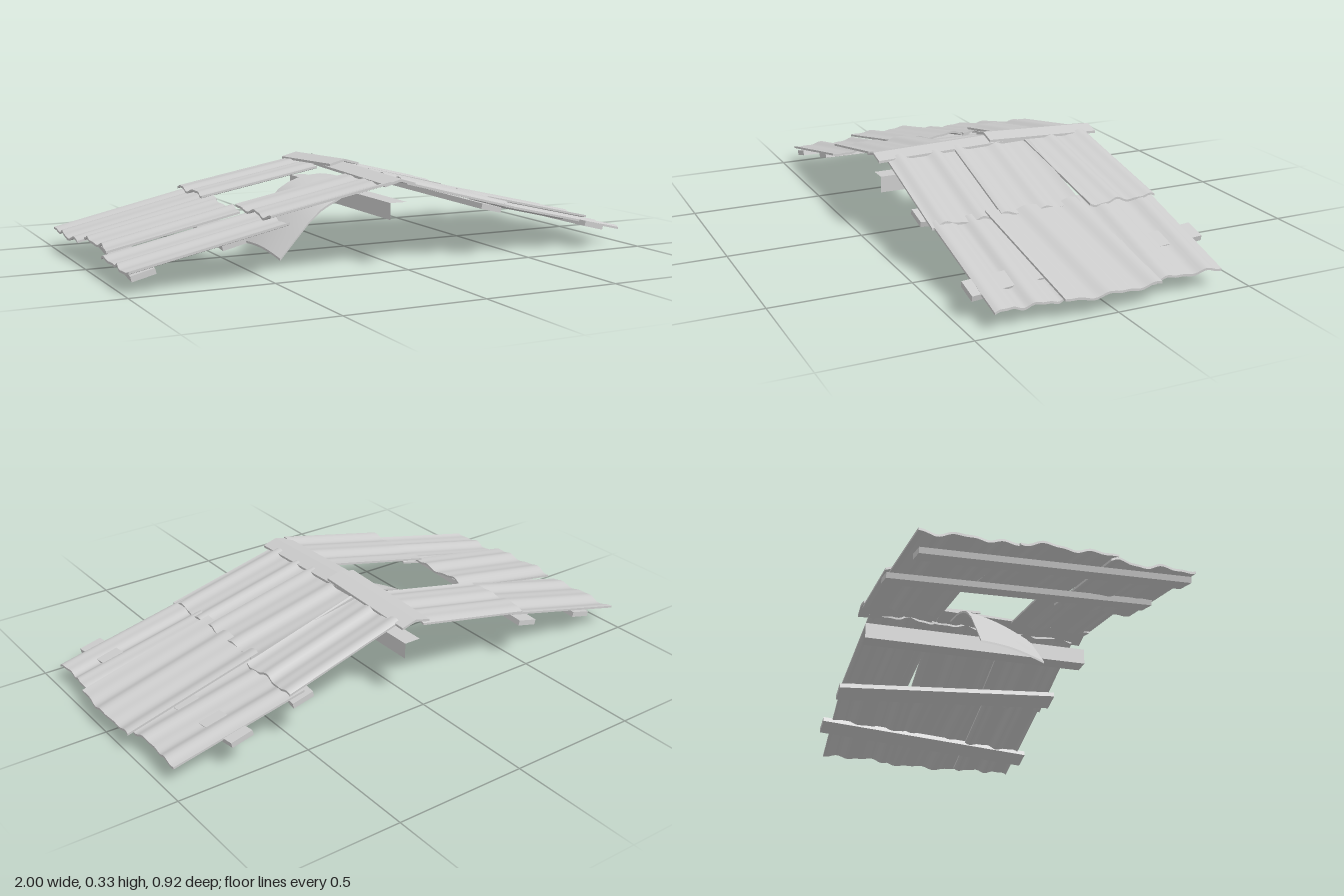
import * as THREE from 'three';

const material = new THREE.MeshStandardMaterial({ color: 0xcccccc, roughness: 0.8 });
const THICK = 0.008;

function add(group, name, geometry) {
  const mesh = new THREE.Mesh(geometry, material);
  mesh.name = name;
  group.add(mesh);
  return mesh;
}

// Thin slab whose top follows place(u, v) -> [x, y, z]; u runs along x, v along z
function slab(place) {
  const g = new THREE.BoxGeometry(1, THICK, 1, 8, 1, 28);
  const p = g.attributes.position;
  for (let i = 0; i < p.count; i++) {
    const [x, y, z] = place(p.getX(i) + 0.5, p.getZ(i) + 0.5);
    p.setXYZ(i, x, y + p.getY(i), z);
  }
  g.computeVertexNormals();
  return g;
}

const lerp = THREE.MathUtils.lerp;

// Shallow, uneven corrugation across a sheet
const wave = (v, seed) =>
  0.006 * Math.sin(v * 13 + seed * 1.9) + 0.003 * Math.sin(v * 25 + seed * 3.1);

// Roof sheets: name, x range, height at each x end, z range, skew in z
const SHEETS = [
  ['upperLeftBackSheet', 0.04, 0.52, 0.306, 0.188, -0.415, -0.15, -0.012],
  ['upperLeftMiddleSheet', 0.04, 0.49, 0.302, 0.186, -0.15, 0.155, 0.008],
  ['upperLeftFrontSheet', 0.04, 0.485, 0.298, 0.183, 0.14, 0.415, 0.006],
  ['lowerLeftBackSheet', 0.46, 0.96, 0.19, 0.068, -0.42, -0.11, 0.008],
  ['lowerLeftMiddleSheet', 0.46, 0.995, 0.194, 0.07, -0.15, 0.2, -0.012],
  ['lowerLeftFrontSheet', 0.45, 0.965, 0.186, 0.066, 0.17, 0.415, 0.004],
  ['upperRightBackSheet', -0.51, -0.04, 0.21, 0.299, -0.45, -0.155, 0.006],
  ['upperRightFrontSheet', -0.485, -0.04, 0.207, 0.297, 0.125, 0.44, 0.008],
  ['lowerRightBackSheet', -0.995, -0.47, 0.078, 0.198, -0.45, -0.13, 0.008],
  ['lowerRightMiddleSheet', -0.975, -0.485, 0.1, 0.196, -0.14, 0.18, -0.014],
  ['lowerRightFrontSheet', -0.985, -0.43, 0.072, 0.19, 0.165, 0.455, 0.003],
];

// Battens under the sheets: x at back, x at front, y, z back, z front, slope sign
const BATTENS = [
  ['upperLeftBatten', 0.475, 0.38, 0.173, -0.44, 0.435, -1],
  ['lowerLeftBatten', 0.73, 0.83, 0.102, -0.46, 0.45, -1],
  ['upperRightBatten', -0.525, -0.62, 0.146, -0.465, 0.44, 1],
  ['lowerRightBatten', -0.85, -0.93, 0.07, -0.43, 0.44, 1],
];

export function createModel() {
  const root = new THREE.Group();
  root.name = 'corrugatedRoof';

  // Corrugated roof sheets with slightly ragged ends
  SHEETS.forEach(([name, x0, x1, y0, y1, z0, z1, skew], i) => {
    add(root, name, slab((u, v) => {
      const ragged = 0.005 * Math.sin(v * 9 + i * 2.3);
      return [
        lerp(x0, x1, u) + ragged,
        lerp(y0, y1, u) + wave(v, i),
        lerp(z0, z1, v) + skew * (u - 0.5) * 2,
      ];
    }));
  });

  // Broken sheet bent down through the hole
  const backEdge = [[-0.05, 0.27], [-0.14, 0.262], [-0.24, 0.215], [-0.38, 0.04]];
  const frontEdge = [[-0.01, 0.25], [-0.09, 0.21], [-0.18, 0.165], [-0.335, 0.008]];
  const [back, front] = [backEdge, frontEdge].map(
    (e) => new THREE.CatmullRomCurve3(e.map(([x, y]) => new THREE.Vector3(x, y, 0))));
  add(root, 'hangingSheet', slab((u, v) => {
    const a = back.getPoint(1 - u), b = front.getPoint(1 - u);
    return [
      lerp(a.x, b.x, v),
      lerp(a.y, b.y, v) + 0.012 * Math.sin(Math.PI * v),
      lerp(lerp(-0.085, -0.11, u), lerp(0.16, 0.13, u), v),
    ];
  }));

  // Skewed battens following the roof slope
  for (const [name, xb, xf, y, zb, zf, sign] of BATTENS) {
    const g = new THREE.BoxGeometry(0.085, 0.02, 1);
    g.rotateZ(sign * 0.24);
    const p = g.attributes.position;
    for (let i = 0; i < p.count; i++) {
      const t = p.getZ(i) + 0.5;
      const x = lerp(xb, xf, t);
      const drop = sign * 0.24 * (x - (xb + xf) / 2);
      p.setXYZ(i, p.getX(i) + x, p.getY(i) + y + drop, lerp(zb, zf, t));
    }
    g.computeVertexNormals();
    add(root, name, g);
  }

  // Ridge beam: square tube with open ends
  const beam = new THREE.CylinderGeometry(Math.SQRT1_2, Math.SQRT1_2, 0.86, 4, 1, true)
    .toNonIndexed();
  beam.rotateY(Math.PI / 4).rotateX(Math.PI / 2).scale(0.065, 0.06, 1);
  beam.computeVertexNormals();
  add(root, 'ridgeBeam', beam).position.set(0, 0.2, 0);

  // Two overlapping folded ridge caps
  const fold = new THREE.Shape([
    [-0.062, -0.016], [0, 0], [0.058, -0.016], [0.058, -0.025], [0, -0.009], [-0.062, -0.025],
  ].map(([x, y]) => new THREE.Vector2(x, y)));
  const cap = (name, z0, z1, y0, y1) => {
    const g = new THREE.ExtrudeGeometry(fold, { depth: z1 - z0, bevelEnabled: false });
    const m = add(root, name, g);
    m.position.set(0, y0, z0);
    m.rotation.x = -Math.atan2(y1 - y0, z1 - z0);
  };
  cap('backRidgeCap', -0.445, 0.005, 0.322, 0.339);
  cap('frontRidgeCap', -0.14, 0.445, 0.33, 0.314);

  return root;
}
